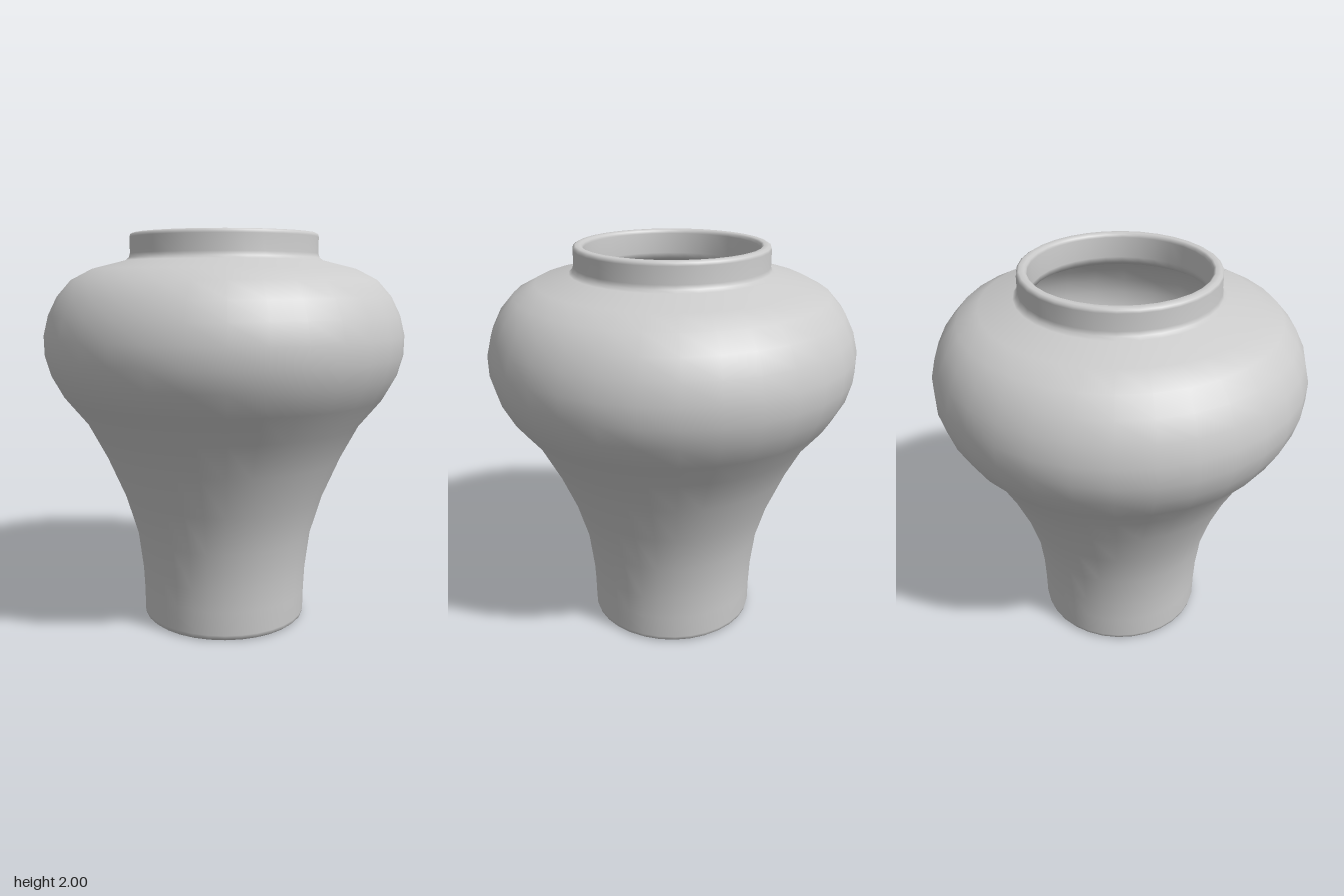
import * as THREE from 'three';

export function createModel() {
  const group = new THREE.Group();
  const material = new THREE.MeshStandardMaterial({ color: 0xcccccc });

  // Outer wall from the centre of the base up to the rim, as [radius, height]
  const outer = [
    [0, 0], [0.4, 0], [0.41, 0], [0.424, 0.012], [0.428, 0.03], [0.43, 0.15], [0.436, 0.27],
    [0.46, 0.46], [0.52, 0.66], [0.61, 0.87], [0.705, 1.05], [0.82, 1.19],
    [0.88, 1.3], [0.908, 1.4], [0.91, 1.5], [0.885, 1.6], [0.84, 1.69],
    [0.77, 1.77], [0.665, 1.825], [0.5, 1.867], [0.484, 1.88], [0.477, 1.9],
    [0.477, 1.98], [0.474, 1.993], [0.463, 2],
  ];

  // Rim, inside of the neck and hollow body, down to the inner floor
  const inner = [
    [0.44, 2], [0.43, 1.993], [0.427, 1.98], [0.422, 1.88], [0.427, 1.85],
    [0.48, 1.82], [0.65, 1.775], [0.74, 1.73], [0.8, 1.66], [0.84, 1.58],
    [0.86, 1.5], [0.858, 1.41], [0.83, 1.32], [0.775, 1.22], [0.66, 1.08],
    [0.56, 0.89], [0.47, 0.68], [0.41, 0.47], [0.386, 0.27], [0.378, 0.08],
    [0.37, 0.055], [0.355, 0.05], [0, 0.05],
  ];

  const profile = [...outer, ...inner].map(([r, y]) => new THREE.Vector2(r, y));
  const vase = new THREE.Mesh(new THREE.LatheGeometry(profile, 32), material);
  vase.name = 'vase';
  group.add(vase);
  return group;
}
